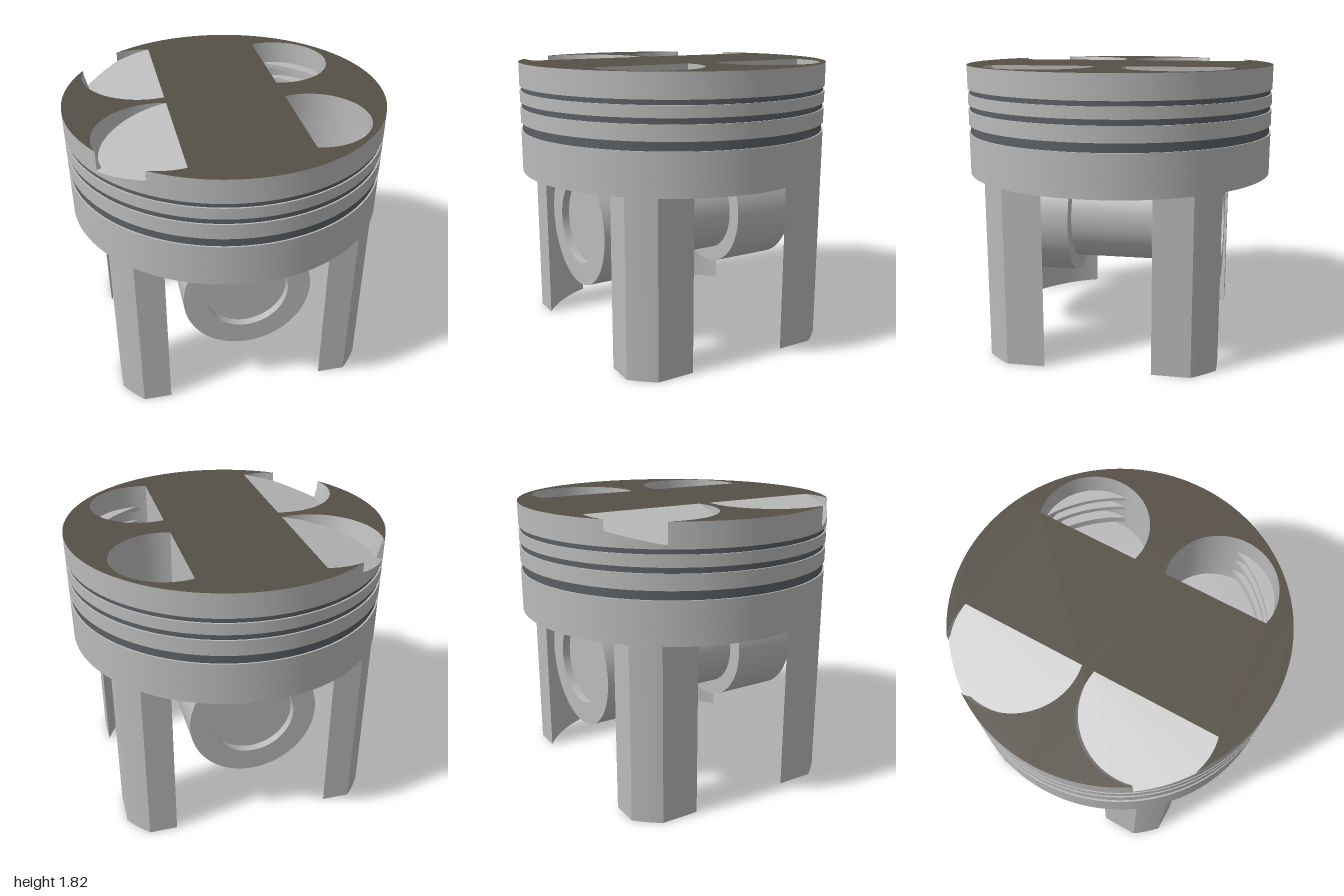
import * as THREE from 'three';
import { toCreasedNormals } from 'three/addons/utils/BufferGeometryUtils.js';

const mat = (name, color) => Object.assign(new THREE.MeshStandardMaterial({ color }), { name });
const BORE = 0.885, TOP = 1.82, TILT = 0.27, FLAT_X = -0.37;

// Large valve pockets (-x) break through the rim; small ones (+x) are deep wells.
const BIG = { x: -0.455, z: 0.43, r: 0.4 };
const SMALL = { x: 0.45, z: 0.43, r: 0.34 };

export function createModel() {
  const steel = mat('steel', 0xbababa);
  const crownDark = mat('crownDark', 0x565047);
  const ringDark = mat('ringDark', 0x5c6064);
  const model = new THREE.Group();

  const add = (name, geo, material = steel) => {
    const m = new THREE.Mesh(geo, material);
    m.name = name;
    model.add(m);
    return m;
  };
  // Extrude a plan-view shape upward from y0 to y1
  const slab = (shape, y0, y1) => {
    const g = new THREE.ExtrudeGeometry(shape, { depth: y1 - y0, bevelEnabled: false, curveSegments: 64 });
    g.rotateX(-Math.PI / 2);
    g.translate(0, y0, 0);
    return g;
  };
  const smooth = (g) => toCreasedNormals(g, 0.5);
  const disc = (r) => new THREE.Shape().absarc(0, 0, r, 0, Math.PI * 2, false);

  // D-shaped outline of a small pocket, kept inside radius limit
  const wellHole = (side, limit) => {
    const a = Math.acos((0.365 - SMALL.x) / SMALL.r), pts = [];
    for (let i = 0; i <= 40; i++) {
      const t = -a + (2 * a * i) / 40;
      const p = new THREE.Vector2(SMALL.x + SMALL.r * Math.cos(t), side * SMALL.z + SMALL.r * Math.sin(t));
      pts.push(p.clampLength(0, limit));
    }
    return new THREE.Path(pts);
  };
  const withWells = (shape, limit = 2) => {
    shape.holes.push(wellHole(1, limit), wellHole(-1, limit));
    return shape;
  };

  // Hollow skirt and the deck closing it
  const tube = disc(1);
  tube.holes.push(new THREE.Path().absarc(0, 0, BORE, 0, Math.PI * 2, true));
  add('skirt', smooth(slab(tube, 1.12, 1.27)));
  add('deck', smooth(slab(disc(1), 1.27, 1.33)));

  // Lands between the rings, pierced by the deep wells
  for (const [y0, y1] of [[1.33, 1.385], [1.44, 1.535], [1.57, 1.64]])
    add('land', smooth(slab(withWells(disc(1)), y0, y1)));

  // Rings, whose inner edges show inside the wells
  for (const [y0, y1] of [[1.385, 1.44], [1.535, 1.57], [1.64, 1.67]]) {
    add('ringCore', smooth(slab(withWells(disc(0.98), BORE), y0, y1)));
    const band = new THREE.CylinderGeometry(0.99, 0.99, y1 - y0, 96, 1, true);
    band.translate(0, (y0 + y1) / 2, 0);
    add('ring', band, ringDark);
  }

  // Angles where a large pocket meets the rim, and where its flat side begins
  const dist = Math.hypot(BIG.x, BIG.z);
  const spread = Math.acos((1 + dist * dist - BIG.r * BIG.r) / (2 * dist));
  const mid = Math.atan2(BIG.z, BIG.x);
  const n1 = mid - spread, n2 = mid + spread;
  const local = (t) => Math.atan2(Math.sin(t) - BIG.z, Math.cos(t) - BIG.x);
  const p1 = local(n1), p2 = local(n2);
  const flat = Math.acos((FLAT_X - BIG.x) / BIG.r), full = Math.PI * 2;

  // Top land: rim outline dipping into both large pockets
  const crown = new THREE.Shape();
  crown.absarc(0, 0, 1, -n1, n1, false);
  crown.absarc(BIG.x, BIG.z, BIG.r, p1, flat, true);
  crown.absarc(BIG.x, BIG.z, BIG.r, -flat, p2 - full, true);
  crown.absarc(0, 0, 1, n2, full - n2, false);
  crown.absarc(BIG.x, -BIG.z, BIG.r, full - p2, flat, true);
  crown.absarc(BIG.x, -BIG.z, BIG.r, -flat, -p1, true);
  const crownGeo = slab(withWells(crown), 1.67, TOP);
  // Lean the large pocket walls
  const cp = crownGeo.attributes.position;
  for (let i = 0; i < cp.count; i++) {
    const x = cp.getX(i);
    if (cp.getY(i) < 1.7 && x < FLAT_X - 0.005 && Math.hypot(x, cp.getZ(i)) < 0.995)
      cp.setX(i, x + 0.15 * TILT);
  }
  add('crown', smooth(crownGeo), [crownDark, steel]);

  // Sloping floors of the large pockets
  for (const side of [1, -1]) {
    const pts = [];
    for (let i = 0; i <= 64; i++) {
      const t = flat + ((full - 2 * flat) * i) / 64;
      pts.push(new THREE.Vector2(BIG.x + BIG.r * Math.cos(t), side * BIG.z + BIG.r * Math.sin(t)).clampLength(0, 1));
    }
    const g = slab(new THREE.Shape(pts), 1.67, TOP);
    const p = g.attributes.position;
    for (let i = 0; i < p.count; i++)
      if (p.getY(i) > 1.7) p.setY(i, TOP - 0.001 + TILT * (p.getX(i) - FLAT_X));
    g.computeVertexNormals();
    add('pocketFloor', smooth(g));
  }

  // Four legs: slices of the skirt wall trimmed flat on two sides
  const LX = 0.82, LZ = 0.72;
  const leg = new THREE.Shape();
  leg.moveTo(LX, Math.sqrt(BORE * BORE - LX * LX));
  leg.absarc(0, 0, 1, Math.acos(LX), Math.asin(LZ), false);
  leg.absarc(0, 0, BORE, Math.asin(LZ / BORE), Math.acos(LX / BORE), true);
  const legGeo = toCreasedNormals(slab(leg, 0, 1.12), 0.25);
  for (const sx of [1, -1])
    for (const sz of [1, -1]) add('leg', legGeo).scale.set(sx, 1, sz);

  // Pin bosses with shallow recessed ends
  const PIN_Y = 0.795;
  const bossShape = disc(0.405);
  bossShape.holes.push(new THREE.Path().absarc(0, 0, 0.26, 0, full, true));
  const bossGeo = smooth(new THREE.ExtrudeGeometry(bossShape, { depth: 0.435, bevelEnabled: false, curveSegments: 64 }));
  for (const z of [0.275, -0.71]) add('pinBoss', bossGeo).position.set(0, PIN_Y, z);

  // Pin ends and the thicker middle sleeve
  const rod = (name, r, len) => {
    const g = new THREE.CylinderGeometry(r, r, len, 64);
    g.rotateX(Math.PI / 2);
    add(name, g).position.y = PIN_Y;
  };
  rod('pin', 0.26, 1.32);
  rod('pinSleeve', 0.305, 0.56);

  // Web joining the bosses to the deck
  add('web', new THREE.BoxGeometry(0.6, 0.22, 1.42)).position.y = 1.175;

  return model;
}
